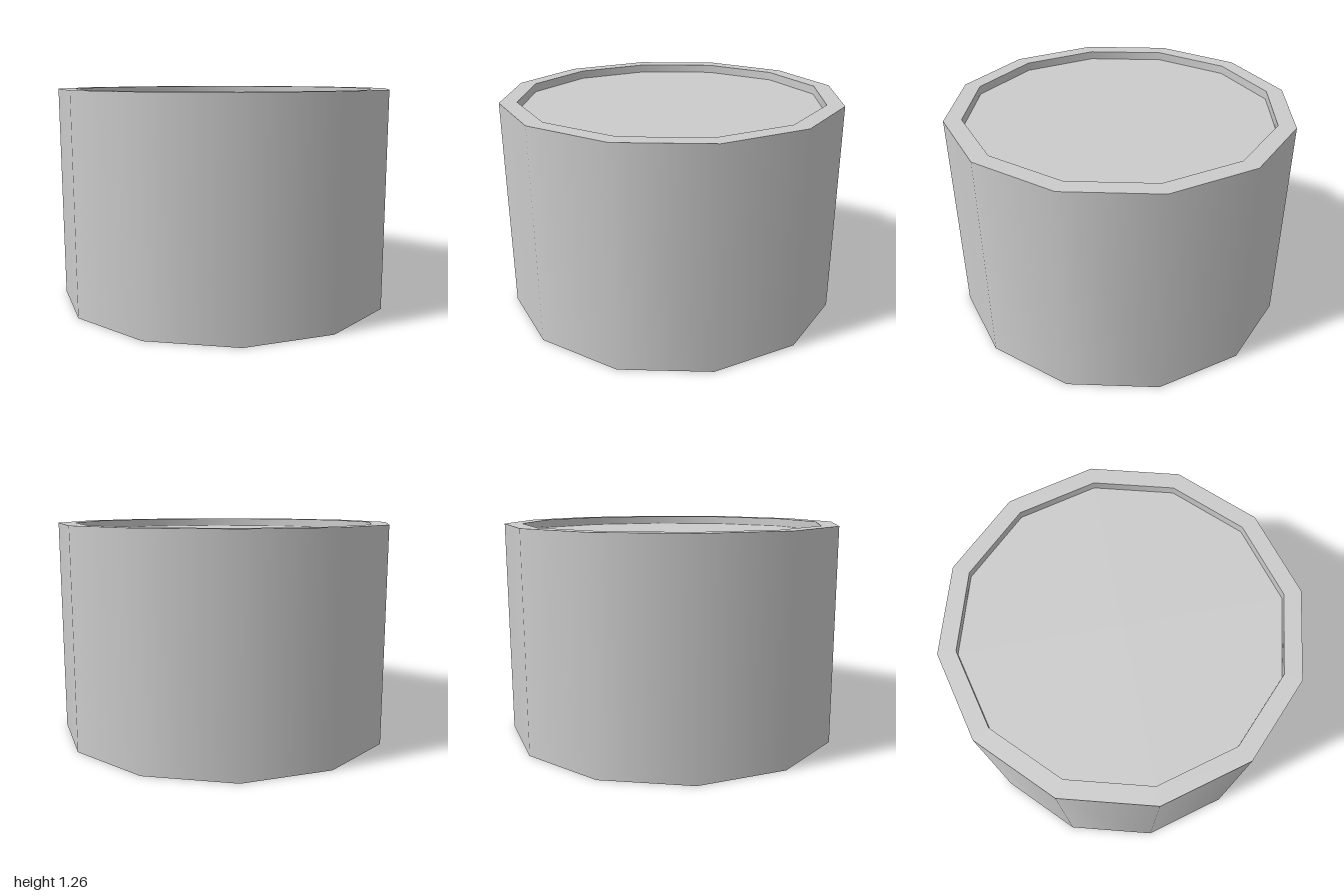
import * as THREE from 'three';

const SIDES = 12, R = 1, INNER = 0.9, H = 1.26, DEPTH = 0.05;

export function createModel() {
  const model = new THREE.Group();
  model.name = 'drum';
  const material = new THREE.MeshStandardMaterial({ color: 0xcccccc });

  // Each band is lathed on its own, so it is smooth around and sharp at its edges
  const band = (name, from, to) => {
    const points = [new THREE.Vector2(...from), new THREE.Vector2(...to)];
    const mesh = new THREE.Mesh(new THREE.LatheGeometry(points, SIDES), material);
    mesh.name = name;
    model.add(mesh);
  };

  // Profile from the underside centre, out and up, to the top centre
  band('bottomPanel', [0, DEPTH], [INNER, DEPTH]);
  band('bottomRecessWall', [INNER, DEPTH], [INNER, 0]);
  band('bottomRim', [INNER, 0], [R, 0]);
  band('outerWall', [R, 0], [R, H]);
  band('topRim', [R, H], [INNER, H]);
  band('topRecessWall', [INNER, H], [INNER, H - DEPTH]);
  band('topPanel', [INNER, H - DEPTH], [0, H - DEPTH]);

  return model;
}
